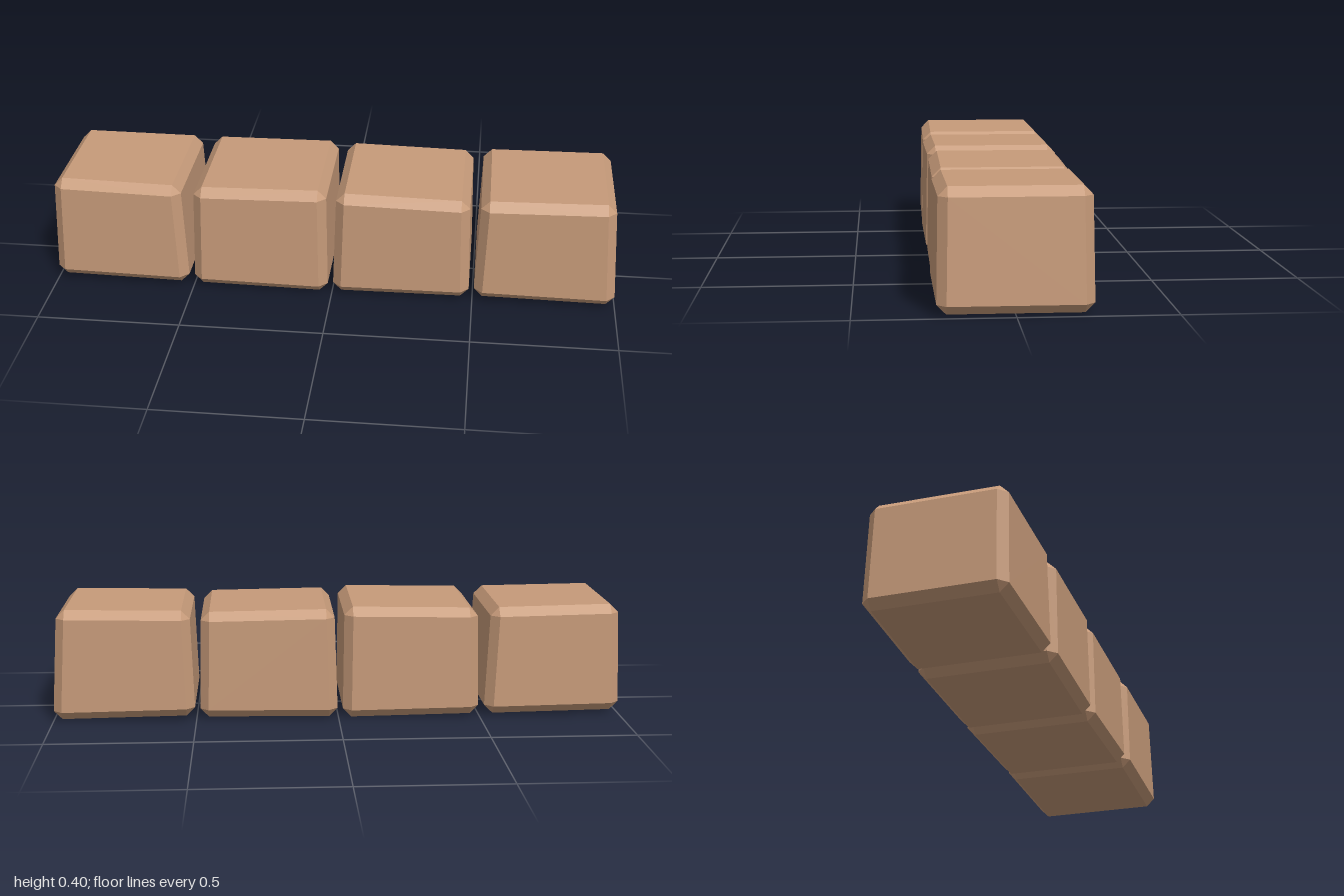
import * as THREE from 'three';
import { ConvexGeometry } from 'three/addons/geometries/ConvexGeometry.js';

const CHAMFER = 0.03;

// Pairs run [left edge, right edge] along x
const BLOCKS = [
  { bottomX: [-1.0, -0.518], topX: [-0.99, -0.535], bottomY: [0.015, 0.01], topY: [0.398, 0.392], back: [-0.239, -0.247], front: [0.238, 0.243] },
  { bottomX: [-0.497, -0.016], topX: [-0.49, -0.021], bottomY: [0.01, 0.002], topY: [0.392, 0.398], back: [-0.247, -0.241], front: [0.245, 0.242] },
  { bottomX: [0.003, 0.487], topX: [0.013, 0.48], bottomY: [0.006, 0.01], topY: [0.391, 0.385], back: [-0.245, -0.242], front: [0.24, 0.242] },
  { bottomX: [0.505, 0.999], topX: [0.517, 0.98], bottomY: [0.016, 0.008], topY: [0.391, 0.397], back: [-0.247, -0.242], front: [0.246, 0.242] },
];

// Slightly skewed box with every edge and corner cut; three points per corner
function chamferedBlock({ bottomX, topX, bottomY, topY, back, front }) {
  const points = [];
  for (const i of [0, 1]) for (const j of [0, 1]) for (const k of [0, 1]) {
    const corner = [
      (j ? topX : bottomX)[i],
      (j ? topY : bottomY)[i],
      (k ? front : back)[i] * (j ? 0.975 : 1),
    ];
    const outward = [i, j, k].map((n) => n * 2 - 1);
    for (let axis = 0; axis < 3; axis++) {
      const p = corner.map((v, a) => (a === axis ? v : v - outward[a] * CHAMFER));
      points.push(new THREE.Vector3(...p));
    }
  }
  return new ConvexGeometry(points);
}

export function createModel() {
  const model = new THREE.Group();
  model.name = 'blockRow';
  const clay = new THREE.MeshStandardMaterial({ color: 0xc69a79, flatShading: true });
  clay.name = 'clay';

  // Row of four separate blocks
  BLOCKS.forEach((spec, n) => {
    const block = new THREE.Mesh(chamferedBlock(spec), clay);
    block.name = `block${n + 1}`;
    model.add(block);
  });
  return model;
}
